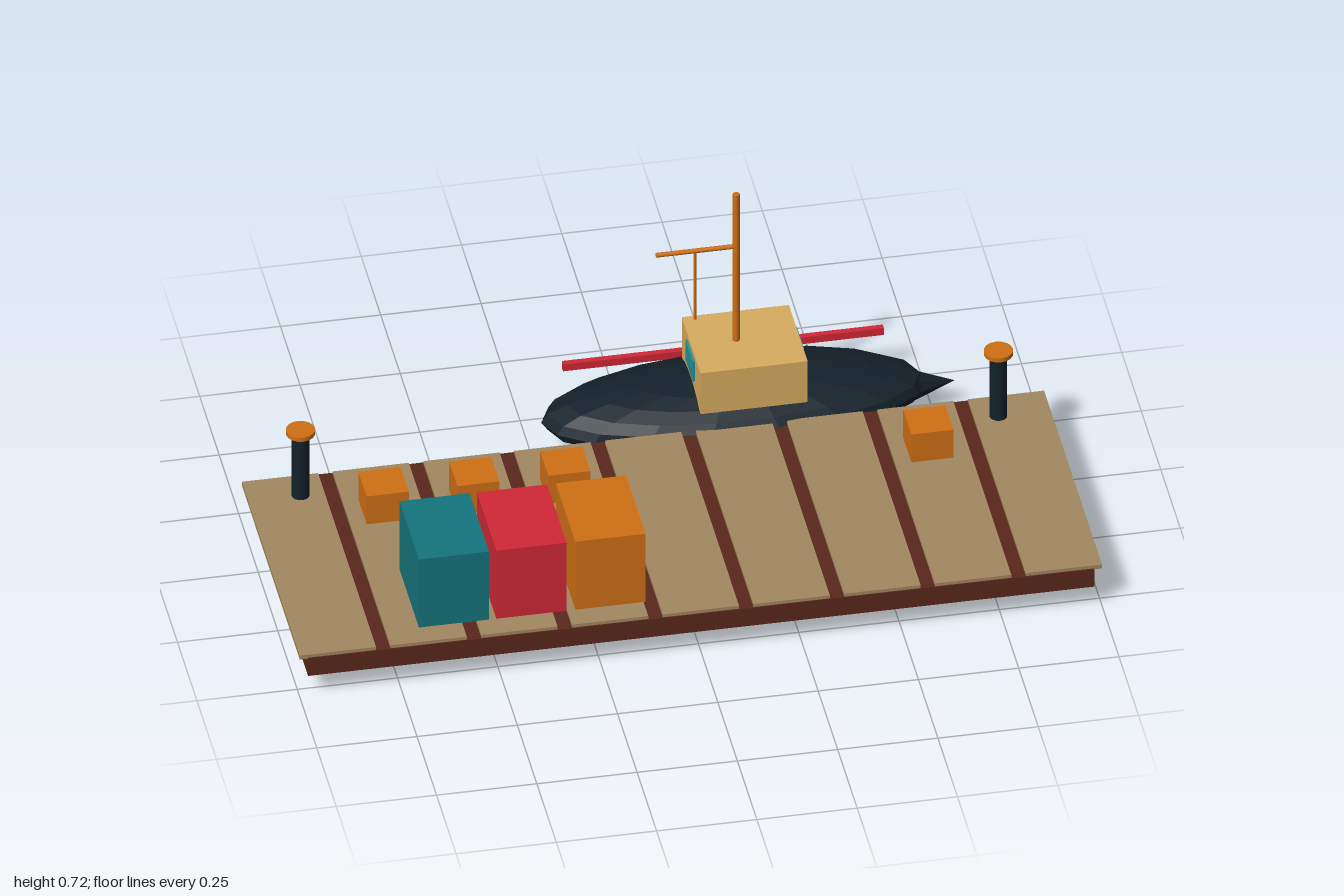
import * as THREE from 'three';

const mat = (color, flatShading = false) => new THREE.MeshStandardMaterial({ color, flatShading });

export function createModel() {
  const model = new THREE.Group();
  const M = {
    navy: mat(0x14212b), hull: mat(0x14212b, true), plank: mat(0xa38862), brown: mat(0x5a281c),
    orange: mat(0xd07015), teal: mat(0x15757c), glass: mat(0x229399),
    red: mat(0xd02835), tan: mat(0xd8ac60), black: mat(0x101418),
  };

  const add = (parent, name, geometry, material, x, y, z) => {
    const mesh = new THREE.Mesh(geometry, material);
    mesh.name = name;
    mesh.position.set(x, y, z);
    parent.add(mesh);
    return mesh;
  };
  const box = (parent, name, material, w, h, d, x, y, z) =>
    add(parent, name, new THREE.BoxGeometry(w, h, d), material, x, y, z);
  const rod = (parent, name, material, r, h, x, y, z, sides = 12) =>
    add(parent, name, new THREE.CylinderGeometry(r, r, h, sides), material, x, y, z);
  const group = (name) => {
    const g = new THREE.Group();
    g.name = name;
    model.add(g);
    return g;
  };

  // Dock: heavy base with nine spaced deck boards
  const dock = group('dock');
  box(dock, 'dockBase', M.brown, 1.96, 0.053, 0.752, 0, 0.0935, 0.16);
  for (let i = 0; i < 9; i++) {
    box(dock, 'deckBoard', M.plank, 0.19, 0.012, 0.742, -0.905 + i * 0.22625, 0.123, 0.162);
  }

  // Bollards at both ends of the mooring side
  for (const x of [-0.87, 0.87]) {
    const bollard = group('bollard');
    rod(bollard, 'bollardPost', M.navy, 0.022, 0.2, x, 0.22, -0.127, 16);
    rod(bollard, 'bollardCap', M.orange, 0.036, 0.012, x, 0.321, -0.127, 16);
  }

  // Small crates
  for (const x of [-0.682, -0.456, -0.229, 0.676]) {
    box(model, 'crate', M.orange, 0.105, 0.1, 0.105, x, 0.163, -0.028);
  }

  // Cargo containers with dark ribs on the rear face
  [[-0.604, M.teal], [-0.411, M.red], [-0.214, M.orange]].forEach(([x, material]) => {
    const container = group('container');
    box(container, 'containerBody', material, 0.175, 0.206, 0.249, x, 0.231, 0.3485);
    for (let i = 0; i < 4; i++) {
      box(container, 'containerRib', M.black, 0.14, 0.007, 0.006, x, 0.157 + i * 0.05, 0.221);
    }
  });

  // Boat hull and its pointed tail
  const boat = group('boat');
  const hull = add(boat, 'hull', new THREE.SphereGeometry(1, 18, 12), M.hull, 0.255, 0.095, -0.358);
  hull.scale.set(0.48, 0.091, 0.174);
  const tail = add(boat, 'tailCone', new THREE.ConeGeometry(0.08, 0.215, 8), M.hull, 0.6975, 0.084, -0.355);
  tail.rotation.z = -Math.PI / 2;

  // Cabin with windows on both sides and at the rear
  box(boat, 'cabin', M.tan, 0.267, 0.123, 0.24, 0.281, 0.2215, -0.35);
  for (const side of [-1, 1]) {
    box(boat, 'sideWindow', M.glass, 0.01, 0.06, 0.095, 0.281 + side * 0.134, 0.238, -0.35);
  }
  box(boat, 'rearWindow', M.glass, 0.2, 0.06, 0.012, 0.281, 0.248, -0.471);

  // Mast, boom and hanging line
  rod(boat, 'mast', M.orange, 0.009, 0.442, 0.26, 0.501, -0.352);
  const boom = rod(boat, 'boom', M.orange, 0.006, 0.2, 0.16, 0.565, -0.352);
  boom.rotation.z = Math.PI / 2;
  rod(boat, 'hangingLine', M.orange, 0.004, 0.205, 0.157, 0.4625, -0.352, 8);

  // Rub rail along the outer side
  box(boat, 'rubRail', M.red, 0.8, 0.02, 0.016, 0.26, 0.138, -0.522);

  return model;
}
